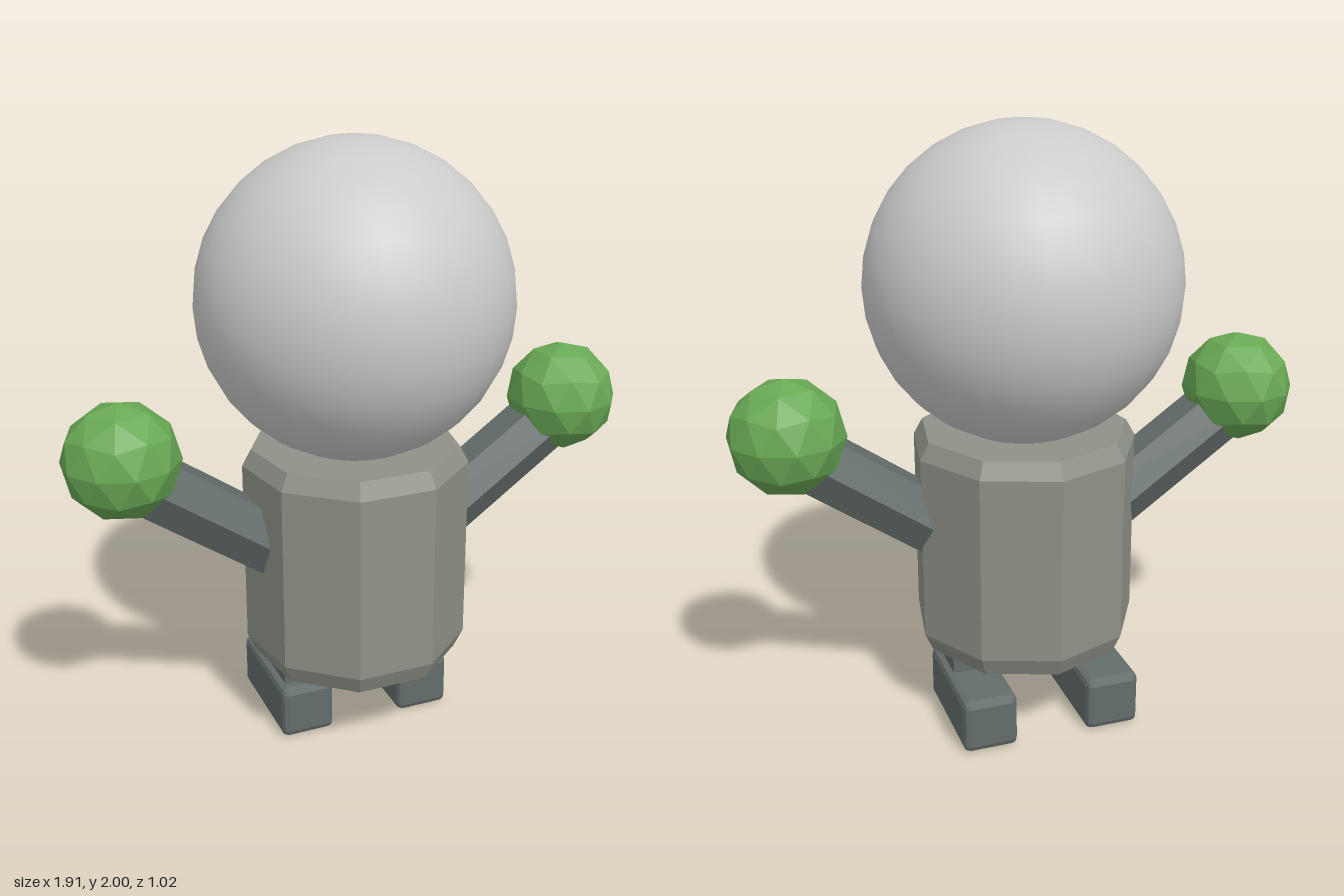
import * as THREE from 'three';
import { RoundedBoxGeometry } from 'three/addons/geometries/RoundedBoxGeometry.js';

const mat = (color, flatShading = true) => new THREE.MeshStandardMaterial({ color, flatShading });
const grey = mat(0xcccccc, false);
const stone = mat(0x8f9288);
const slate = mat(0x636d6b);
const green = mat(0x69a955);

function add(parent, name, geometry, material, x = 0, y = 0, z = 0) {
  const mesh = new THREE.Mesh(geometry, material);
  mesh.name = name;
  mesh.position.set(x, y, z);
  parent.add(mesh);
  return mesh;
}

export function createModel() {
  const model = new THREE.Group();
  model.name = 'figure';

  // Smooth round head
  add(model, 'head', new THREE.SphereGeometry(0.51, 32, 16), grey, 0, 1.49, 0);

  // Nine-sided torso with chamfered rims, a flat side facing the front
  const profile = [[0, 0.265], [0.345, 0.265], [0.375, 0.33], [0.375, 0.955], [0.345, 1.01], [0, 1.01]];
  const torso = new THREE.LatheGeometry(profile.map(([r, y]) => new THREE.Vector2(r, y)), 9, Math.PI);
  add(model, 'torso', torso, stone);

  // Faceted ball with a corner pointing straight up
  const ball = new THREE.IcosahedronGeometry(0.188, 1);
  ball.rotateX(-Math.atan((1 + Math.sqrt(5)) / 2));
  ball.rotateY(Math.PI / 2);

  const up = new THREE.Vector3(0, 1, 0);
  for (const [side, s] of [['left', 1], ['right', -1]]) {
    // Six-sided arm rising outward from inside the torso
    const start = new THREE.Vector3(0.25 * s, 0.665, 0);
    const end = new THREE.Vector3(0.765 * s, 1.025, 0);
    const dir = end.clone().sub(start);
    const mid = start.clone().add(end).multiplyScalar(0.5);
    const arm = add(model, side + 'Arm', new THREE.CylinderGeometry(0.111, 0.111, dir.length(), 6), slate, mid.x, mid.y, 0);
    arm.quaternion.setFromUnitVectors(up, dir.normalize());

    // Ball hand
    const hand = add(model, side + 'Hand', ball, green, 0.775 * s, 1.064, 0);
    if (s < 0) hand.rotation.y = Math.PI;

    // Short leg and chamfered foot
    add(model, side + 'Leg', new THREE.BoxGeometry(0.135, 0.25, 0.155), slate, 0.214 * s, 0.255, -0.018);
    add(model, side + 'Foot', new RoundedBoxGeometry(0.185, 0.185, 0.415, 1, 0.022), slate, 0.214 * s, 0.0925, -0.098);
  }
  return model;
}
